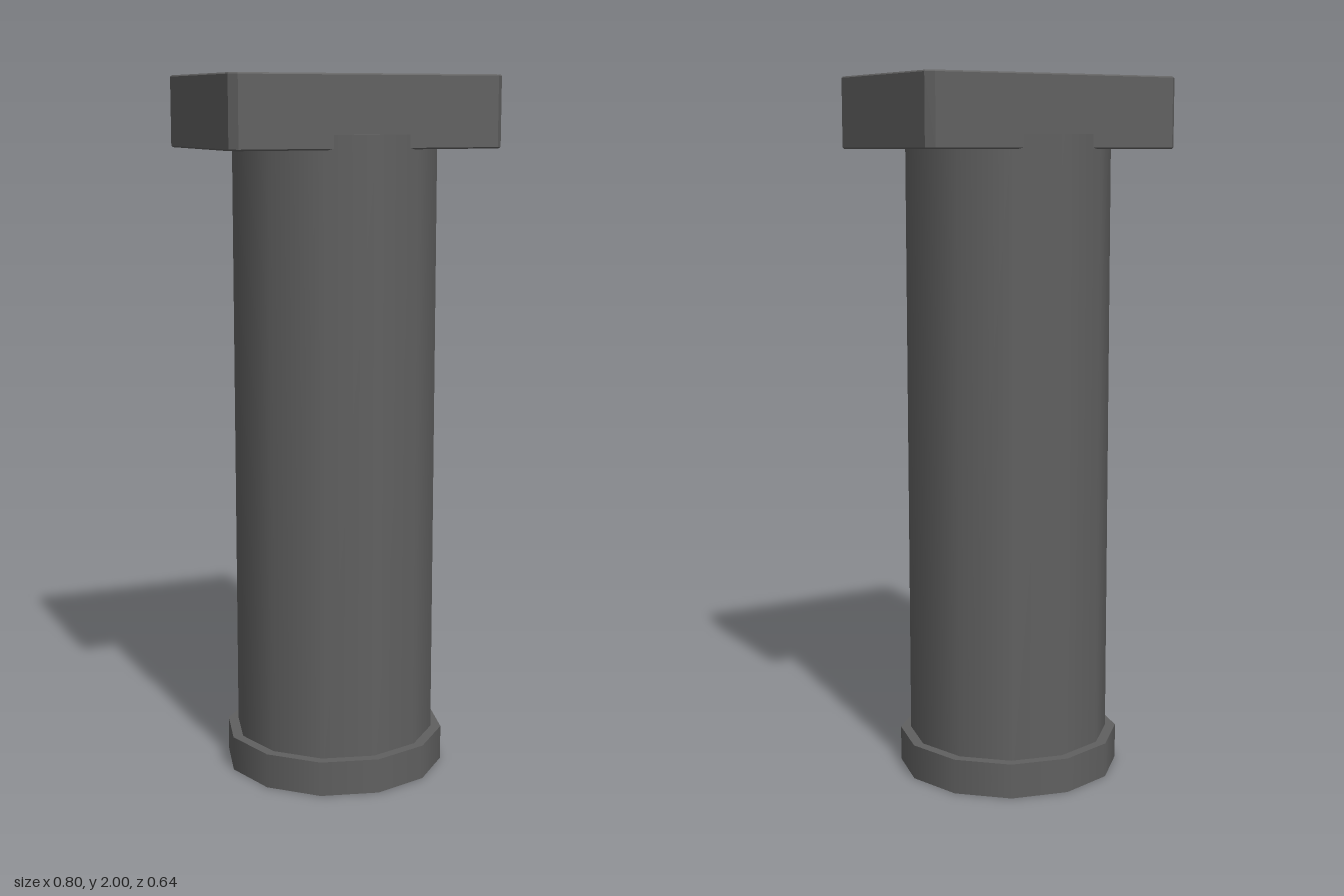
import * as THREE from 'three';

export function createModel() {
  const model = new THREE.Group();
  model.name = 'pillar';
  const stone = new THREE.MeshStandardMaterial({ color: 0x606060 });
  stone.name = 'dark grey stone';

  function add(name, geometry, y) {
    const mesh = new THREE.Mesh(geometry, stone);
    mesh.name = name;
    mesh.position.y = y;
    model.add(mesh);
  }

  // Twelve-sided foot and shaft, with a corner pointing to the front
  add('foot', new THREE.CylinderGeometry(0.32, 0.32, 0.1, 12), 0.05);
  add('shaft', new THREE.CylinderGeometry(0.29, 0.29, 1.84, 12), 0.92);

  // Top slab: rectangle with cut corners and a very fine edge bevel
  const bevel = 0.004, w = 0.4 - bevel, d = 0.26 - bevel, cut = 0.018;
  const outline = new THREE.Shape([
    [w - cut, -d], [w, -d + cut], [w, d - cut], [w - cut, d],
    [-w + cut, d], [-w, d - cut], [-w, -d + cut], [-w + cut, -d],
  ].map(([x, y]) => new THREE.Vector2(x, y)));
  const slab = new THREE.ExtrudeGeometry(outline, {
    depth: 0.2 - 2 * bevel, bevelEnabled: true,
    bevelThickness: bevel, bevelSize: bevel, bevelSegments: 1,
  });
  slab.rotateX(-Math.PI / 2);
  add('topSlab', slab, 1.8 + bevel);

  return model;
}
